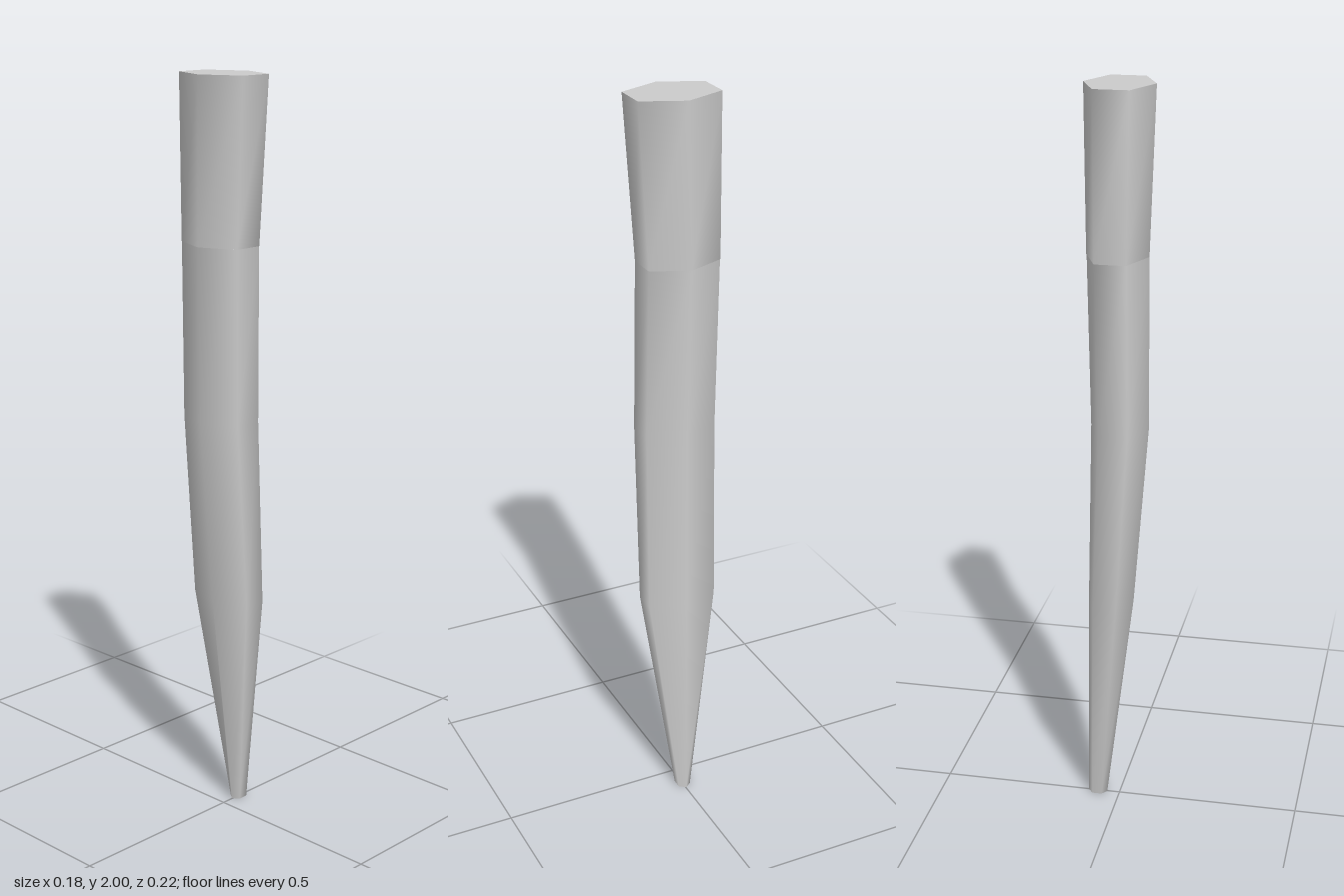
import * as THREE from 'three';

const SIDES = 6;

// Each section: [height, minX, maxX, minZ, maxZ] of a hexagon with its points on the x axis
const shaftSections = [
  [0, 0.035, 0.088, -0.019, 0.016],
  [0.61, -0.04, 0.084, -0.1, 0.094],
  [1.11, -0.08, 0.074, -0.105, 0.091],
  [1.57, -0.08, 0.082, -0.112, 0.085],
];
const buttSections = [
  [1.57, -0.08, 0.083, -0.113, 0.085],
  [2, -0.093, 0.091, -0.111, 0.112],
];

function ring([y, x0, x1, z0, z1]) {
  const points = [];
  for (let i = 0; i < SIDES; i++) {
    const a = (i / SIDES) * Math.PI * 2;
    points.push(new THREE.Vector3(
      (x0 + x1) / 2 + Math.cos(a) * (x1 - x0) / 2,
      y,
      (z0 + z1) / 2 + Math.sin(a) / Math.sin(Math.PI / 3) * (z1 - z0) / 2,
    ));
  }
  return points;
}

function geometryFrom(points, index) {
  const geometry = new THREE.BufferGeometry().setFromPoints(points);
  geometry.setIndex(index);
  geometry.computeVertexNormals();
  return geometry;
}

// Smooth skin through the sections
function loft(sections) {
  const index = [];
  for (let s = 0; s < sections.length - 1; s++) {
    for (let i = 0; i < SIDES; i++) {
      const a = s * SIDES + i;
      const b = s * SIDES + (i + 1) % SIDES;
      index.push(a, a + SIDES, b, b, a + SIDES, b + SIDES);
    }
  }
  return geometryFrom(sections.flatMap(ring), index);
}

// Flat end face
function cap(section, up) {
  const index = [];
  for (let i = 1; i < SIDES - 1; i++) {
    index.push(0, up ? i + 1 : i, up ? i : i + 1);
  }
  return geometryFrom(ring(section), index);
}

export function createModel() {
  const group = new THREE.Group();
  group.name = 'taperedStake';
  const material = new THREE.MeshStandardMaterial({ color: 0xcccccc });
  const add = (name, geometry) => {
    const mesh = new THREE.Mesh(geometry, material);
    mesh.name = name;
    group.add(mesh);
  };

  // Bent, tapering shaft and the flared upper end
  add('shaft', loft(shaftSections));
  add('upperEnd', loft(buttSections));

  // End faces
  add('topFace', cap(buttSections[1], true));
  add('tipFace', cap(shaftSections[0], false));

  return group;
}
